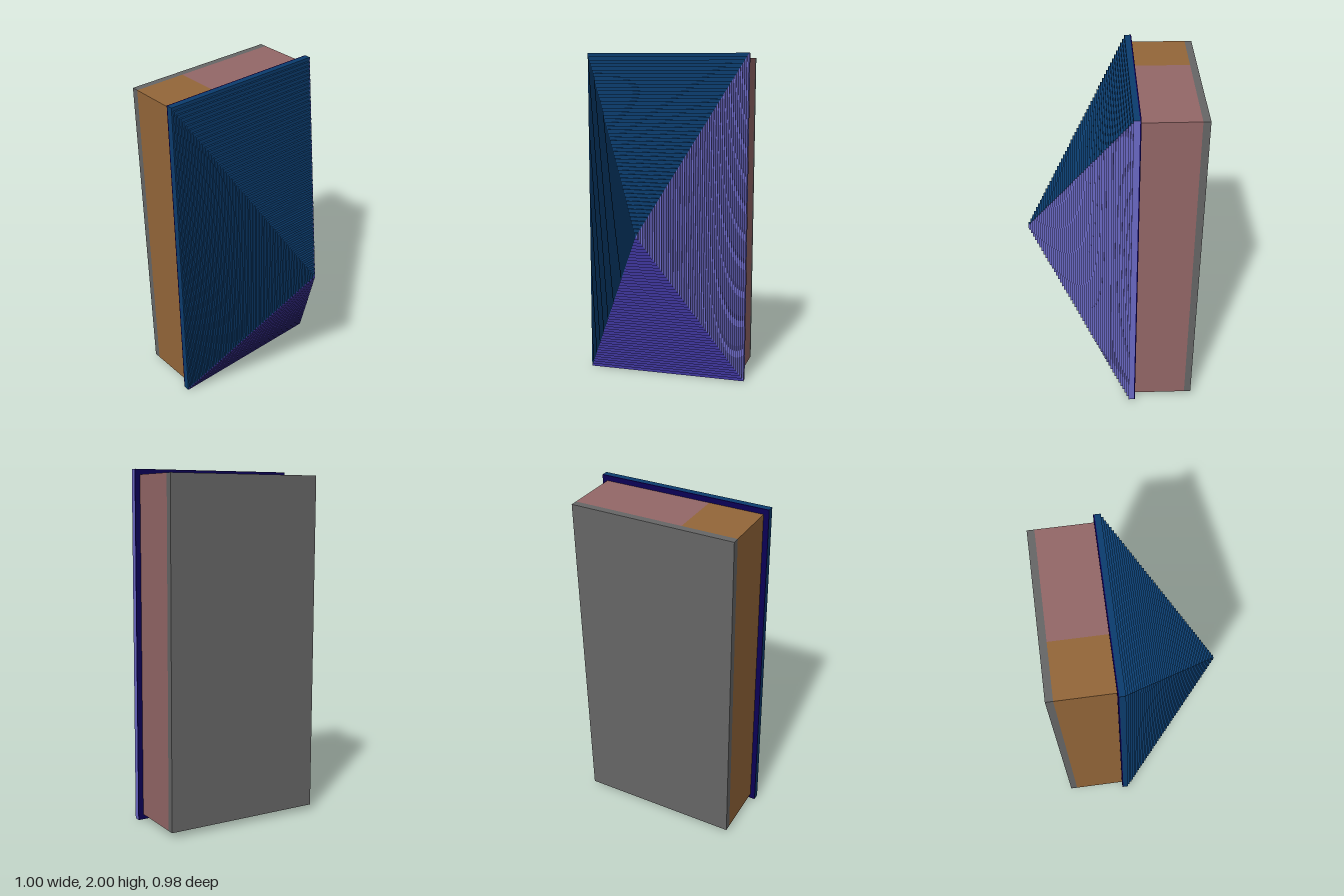
import * as THREE from 'three';

const mat = (name, color) => {
  const m = new THREE.MeshStandardMaterial({ color });
  m.name = name;
  return m;
};

export function createModel() {
  const group = new THREE.Group();
  const blue = mat('deep blue', 0x0b3c6e);
  const lilac = mat('lilac', 0x6b69c5);
  const purple = mat('purple', 0x3e359b);
  const navy = mat('navy', 0x0b0055);
  const brown = mat('brown', 0x946639);
  const rose = mat('dusty rose', 0x946767);
  const grey = mat('grey', 0x666666);

  const add = (name, geometry, material, parent = group) => {
    const mesh = new THREE.Mesh(geometry, material);
    mesh.name = name;
    parent.add(mesh);
    return mesh;
  };
  const box = (name, x0, x1, y0, y1, z0, z1, material, parent) =>
    add(name, new THREE.BoxGeometry(x1 - x0, y1 - y0, z1 - z0), material, parent)
      .position.set((x0 + x1) / 2, (y0 + y1) / 2, (z0 + z1) / 2);

  // Stepped pyramid: one mesh per side, each a run of risers and mitred treads
  const layers = 50, baseZ = -0.133, firstZ = -0.1, tipZ = 0.49;
  const steppedSide = (name, a, b, material) => {
    const pos = [];
    const quad = (p, q, r, s) => [p, q, r, p, r, s].forEach(v => pos.push(...v));
    for (let i = 0; i < layers; i++) {
      const outer = 1 - i / layers, inner = 1 - (i + 1) / layers;
      const top = n => firstZ + (tipZ - firstZ) * n / (layers - 1);
      const z0 = i === 0 ? baseZ : top(i - 1), z1 = top(i);
      const at = (c, s, z) => [c[0] * 0.5 * s, 1 + c[1] * s, z];
      quad(at(a, outer, z0), at(b, outer, z0), at(b, outer, z1), at(a, outer, z1));
      quad(at(a, outer, z1), at(b, outer, z1), at(b, inner, z1), at(a, inner, z1));
    }
    const g = new THREE.BufferGeometry();
    g.setAttribute('position', new THREE.Float32BufferAttribute(pos, 3));
    g.computeVertexNormals();
    add(name, g, material);
  };
  steppedSide('pyramidLeftSide', [1, -1], [1, 1], lilac);
  steppedSide('pyramidTopSide', [1, 1], [-1, 1], blue);
  steppedSide('pyramidRightSide', [-1, 1], [-1, -1], blue);
  steppedSide('pyramidBottomSide', [-1, -1], [1, -1], purple);

  // Thin plate closing the back of the pyramid
  box('pyramidBackPlate', -0.5, 0.5, 0, 2, -0.14, baseZ, navy);

  // Casing in two colours, divided along a slanted line
  const casing = (name, points, material) => {
    const shape = new THREE.Shape(points.map(p => new THREE.Vector2(...p)));
    const g = new THREE.ExtrudeGeometry(shape, { depth: 0.31, bevelEnabled: false });
    add(name, g, material).position.z = -0.45;
  };
  casing('casingRight', [[-0.47, 0.03], [0.16, 0.03], [-0.16, 1.97], [-0.47, 1.97]], brown);
  casing('casingLeft', [[0.16, 0.03], [0.47, 0.03], [0.47, 1.97], [-0.16, 1.97]], rose);
  box('backPanel', -0.47, 0.47, 0.03, 1.97, -0.49, -0.45, grey);

  // Two low stepped feet under the casing, each half lilac and half blue
  for (const x of [-0.205, 0.205]) {
    const foot = new THREE.Group();
    foot.name = 'foot';
    foot.position.x = x;
    for (let i = 0; i < 2; i++) {
      const w = 0.125 - i * 0.015, y = 0.02 - i * 0.012, back = -0.325 + i * 0.015;
      box('footLeftHalf', 0, w, y, y + 0.012, back, -0.14, lilac, foot);
      box('footRightHalf', -w, 0, y, y + 0.012, back, -0.14, blue, foot);
    }
    box('footSole', 0, 0.095, 0.005, 0.008, -0.295, -0.14, purple, foot);
    group.add(foot);
  }
  return group;
}
